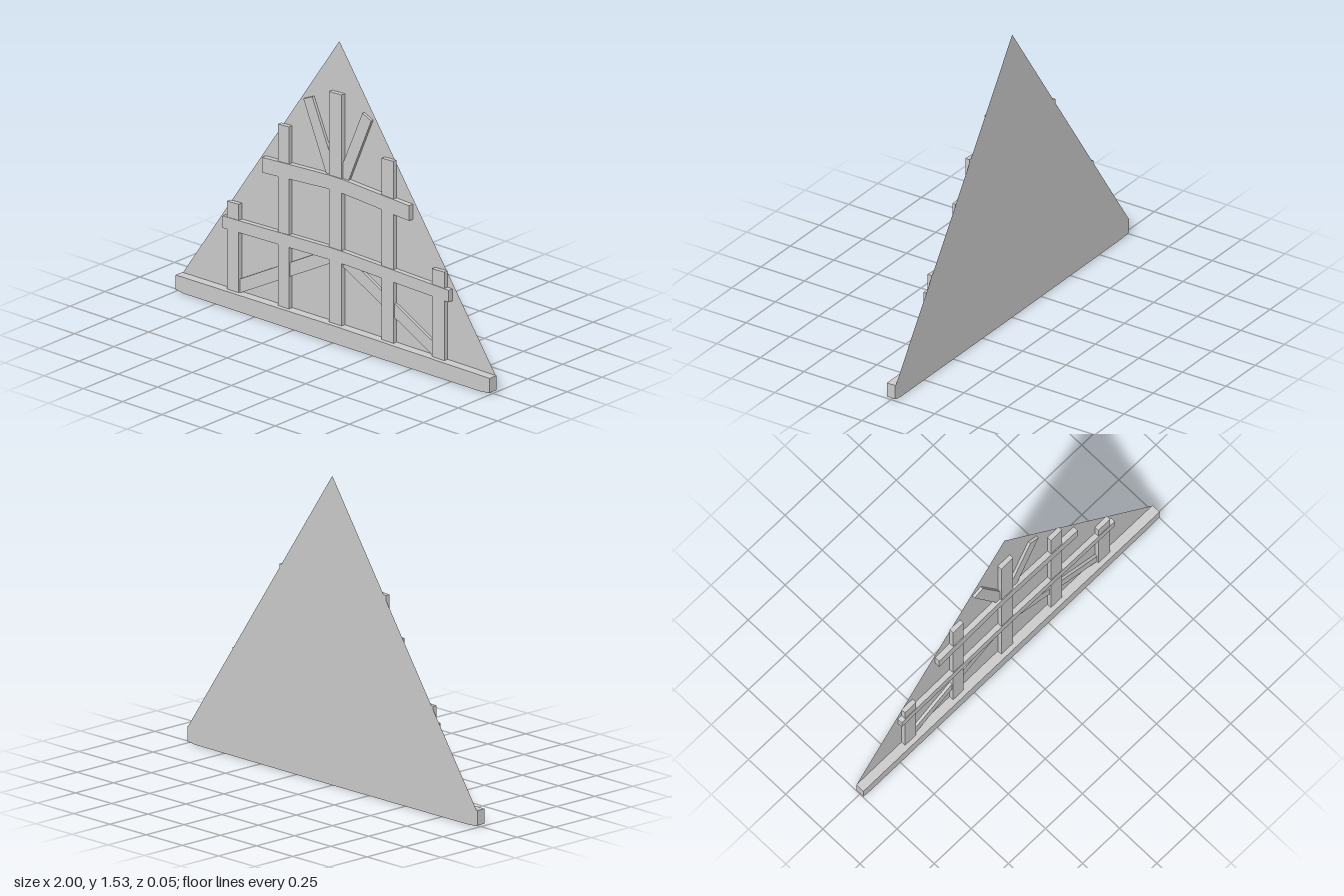
import * as THREE from 'three';

const BACK = -0.0235;

export function createModel() {
  const model = new THREE.Group();
  const grey = new THREE.MeshStandardMaterial({ color: 0xcccccc });
  grey.name = 'plain grey';
  const greySheet = new THREE.MeshStandardMaterial({ color: 0xcccccc, side: THREE.DoubleSide });
  greySheet.name = 'plain grey sheet';

  const outline = (pts) => new THREE.Shape(pts.map(([x, y]) => new THREE.Vector2(x, y)));
  const add = (name, geometry, material) => {
    const mesh = new THREE.Mesh(geometry, material);
    mesh.name = name;
    model.add(mesh);
  };
  // Timber cut to an outline, running from the wall out to the given front depth
  const timber = (name, pts, front) => {
    const geo = new THREE.ExtrudeGeometry(outline(pts), { depth: front - BACK, bevelEnabled: false });
    add(name, geo.translate(0, 0, BACK), grey);
  };

  // Thin triangular wall
  add('gableWall', new THREE.ShapeGeometry(outline([
    [-0.99, 0.005], [0.99, 0.005], [0.995, 0.085], [0, 1.535], [-0.995, 0.085],
  ])).translate(0, 0, -0.024), greySheet);

  // Sill beam, slightly bowed
  timber('sillBeam', [
    [-1, 0.01], [-0.95, 0.002], [0, 0], [0.95, 0.002], [1, 0.01],
    [1, 0.084], [0, 0.09], [-1, 0.084],
  ], 0.024);

  // Upright posts: left edge, right edge, top
  const posts = [
    ['centrePost', -0.045, 0.035, 1.275],
    ['rightInnerPost', -0.37, -0.3, 1.022],
    ['leftInnerPost', 0.29, 0.365, 1.022],
    ['rightOuterPost', -0.695, -0.62, 0.54],
    ['leftOuterPost', 0.61, 0.69, 0.54],
  ];
  for (const [name, x0, x1, top] of posts) {
    timber(name, [[x0, 0.08], [x1, 0.08], [x1, top], [x0, top - 0.003]], 0);
  }

  // Rails, rising a little towards the middle
  const rail = (name, half, ends, middle, front) => timber(name, [
    [-half, ends[0]], [-0.05, middle[0]], [0.05, middle[0]], [half, ends[0]],
    [half, ends[1]], [0.05, middle[1]], [-0.05, middle[1]], [-half, ends[1]],
  ], front);
  rail('upperRail', 0.468, [0.745, 0.823], [0.773, 0.845], 0.004);
  rail('lowerRail', 0.72, [0.394, 0.455], [0.411, 0.475], 0.003);

  // Diagonal braces, mirrored
  for (const [side, s] of [['left', 1], ['right', -1]]) {
    const flip = (pts) => pts.map(([x, y]) => [x * s, y]);
    timber(side + 'UpperBrace', flip([
      [0.062, 0.82], [0.216, 1.187], [0.16, 1.212], [0.0, 0.84],
    ]), -0.009);
    timber(side + 'LowerBrace', flip([
      [0.625, 0.08], [0.625, 0.152], [0.13, 0.415], [0.02, 0.4],
    ]), -0.009);
  }
  return model;
}
